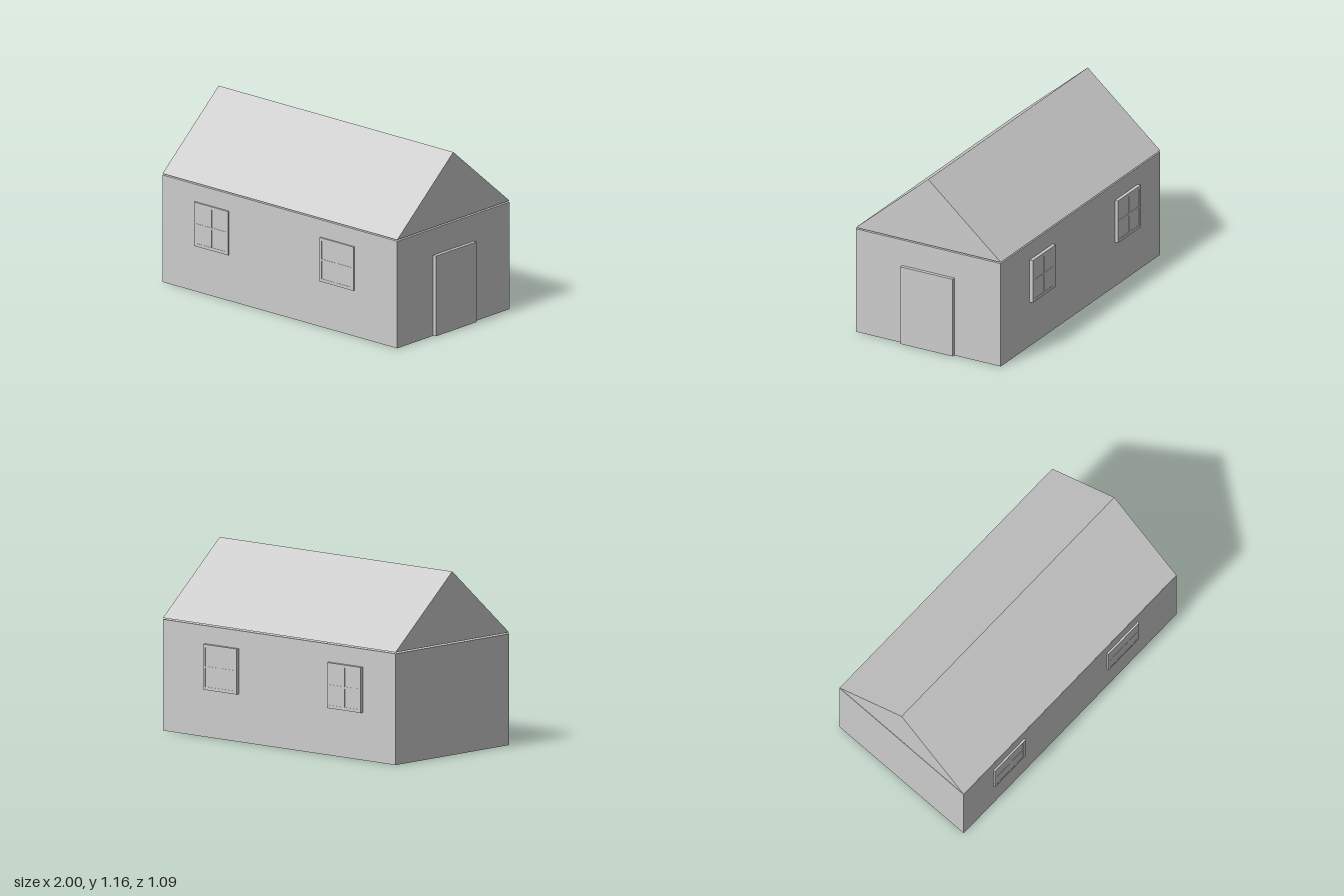
import * as THREE from 'three';

const material = new THREE.MeshStandardMaterial({ color: 0xcccccc, flatShading: true });

// Box given by its min and max corners
function box(name, [x0, y0, z0], [x1, y1, z1]) {
  const mesh = new THREE.Mesh(new THREE.BoxGeometry(x1 - x0, y1 - y0, z1 - z0), material);
  mesh.position.set((x0 + x1) / 2, (y0 + y1) / 2, (z0 + z1) / 2);
  mesh.name = name;
  return mesh;
}

function rectPath(PathType, x, y, w, h) {
  return new PathType([[0, 0], [w, 0], [w, h], [0, h]].map(([dx, dy]) => new THREE.Vector2(x + dx, y + dy)));
}

// Four-pane window with its back on z = 0, facing +z
function makeWindow(name, width, height, depth) {
  const border = 0.02, bar = 0.012, recess = 0.002;
  const group = new THREE.Group();
  group.name = name;
  const shape = rectPath(THREE.Shape, -width / 2, -height / 2, width, height);
  const paneW = (width - 2 * border - bar) / 2;
  const paneH = (height - 2 * border - bar) / 2;
  for (const x of [-bar / 2 - paneW, bar / 2]) {
    for (const y of [-bar / 2 - paneH, bar / 2]) {
      shape.holes.push(rectPath(THREE.Path, x, y, paneW, paneH));
    }
  }
  const frame = new THREE.Mesh(
    new THREE.ExtrudeGeometry(shape, { depth, bevelEnabled: false }), material);
  frame.name = 'windowFrame';
  const glass = box('windowGlass',
    [-width / 2 + border / 2, -height / 2 + border / 2, 0.001],
    [width / 2 - border / 2, height / 2 - border / 2, depth - recess]);
  group.add(frame, glass);
  return group;
}

export function createModel() {
  const house = new THREE.Group();
  house.name = 'house';
  const left = -1, right = 0.976, back = -0.521, front = 0.531;

  // Walls
  house.add(box('walls', [left, 0, back], [right, 0.706, front]));

  // Gable roof, floating just above the walls
  const gable = new THREE.Shape([[-front, 0.715], [-back, 0.715], [-0.005, 1.165]]
    .map(([x, y]) => new THREE.Vector2(x, y)));
  const roof = new THREE.Mesh(
    new THREE.ExtrudeGeometry(gable, { depth: right - left, bevelEnabled: false }), material);
  roof.rotation.y = Math.PI / 2;
  roof.position.x = left;
  roof.name = 'roof';
  house.add(roof);

  // Door on the gable end
  house.add(box('door', [right - 0.01, 0.002, -0.185], [1, 0.531, 0.194]));

  // Two windows on each long side
  for (const [side, x] of [['Right', -0.581], ['Left', 0.474]]) {
    const frontWindow = makeWindow('frontWindow' + side, 0.286, 0.289, 0.022);
    frontWindow.position.set(x, 0.447, 0.521);
    const backWindow = makeWindow('backWindow' + side, 0.286, 0.289, 0.032);
    backWindow.position.set(x, 0.447, -0.511);
    backWindow.rotation.y = Math.PI;
    house.add(frontWindow, backWindow);
  }
  return house;
}
